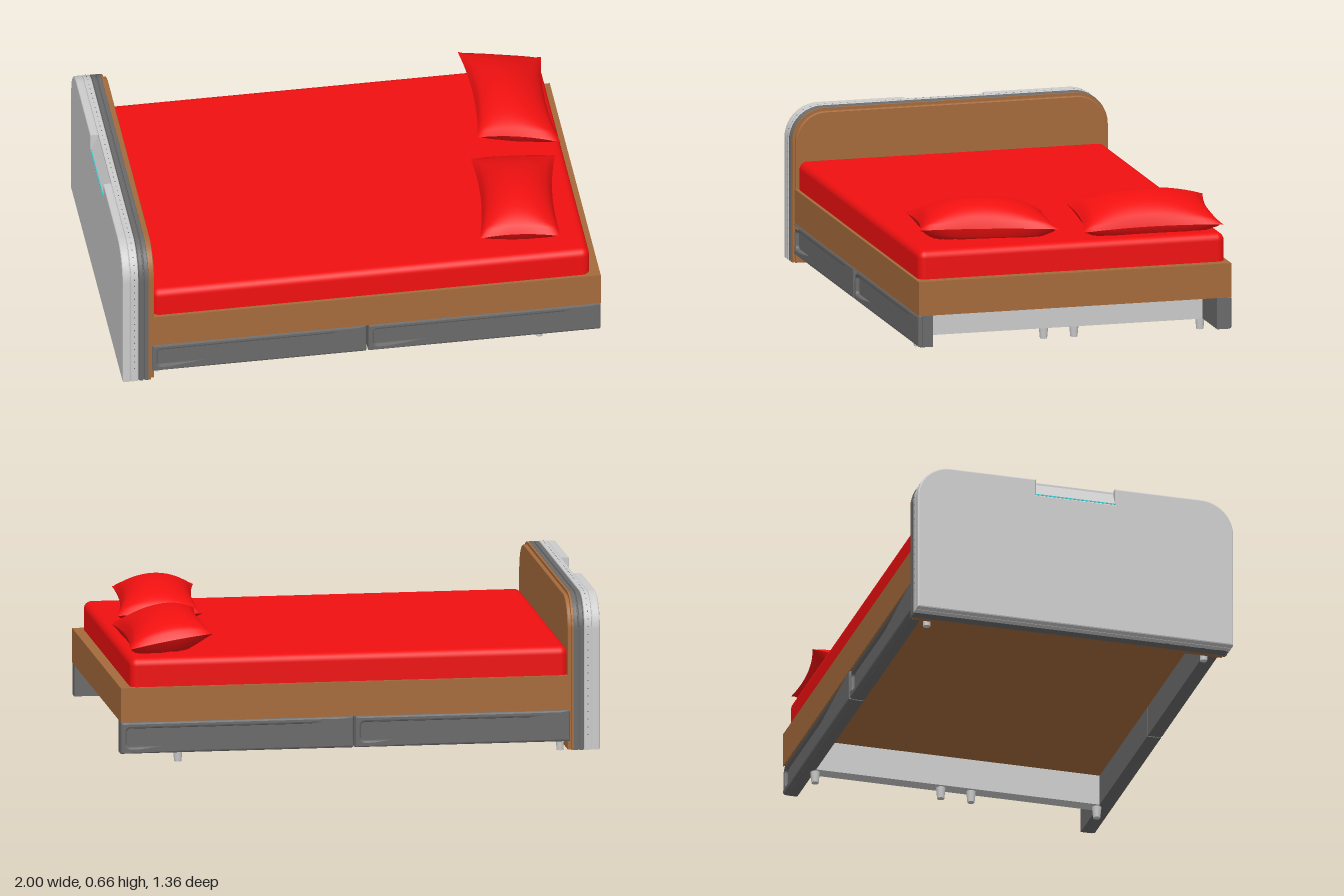
import * as THREE from 'three';
import { RoundedBoxGeometry } from 'three/addons/geometries/RoundedBoxGeometry.js';
import { mergeGeometries } from 'three/addons/utils/BufferGeometryUtils.js';

const paint = (color) => new THREE.MeshStandardMaterial({ color });
const grey = paint(0xcccccc), dark = paint(0x6a6a6a), wood = paint(0xa56b3c);
const red = paint(0xf01010), cyan = paint(0x30d0d8);

function add(parent, name, geometry, material, x = 0, y = 0, z = 0) {
  const mesh = new THREE.Mesh(geometry, material);
  mesh.name = name;
  mesh.position.set(x, y, z);
  parent.add(mesh);
  return mesh;
}

// Box given by its limits
function block(parent, name, material, x0, x1, y0, y1, z0, z1) {
  return add(parent, name, new THREE.BoxGeometry(x1 - x0, y1 - y0, z1 - z0), material,
    (x0 + x1) / 2, (y0 + y1) / 2, (z0 + z1) / 2);
}

// Headboard outline with rounded top corners and an optional notch in the top edge
function archShape(inset = 0, notch = 0) {
  const w = 0.678 - inset, top = 0.657 - inset, r = 0.14 - inset, base = 0.012;
  const s = new THREE.Shape();
  s.moveTo(-w, base);
  s.lineTo(w, base);
  s.lineTo(w, top - r);
  s.absarc(w - r, top - r, r, 0, Math.PI / 2);
  if (notch) {
    s.lineTo(0.17, top);
    s.lineTo(0.17, top - notch);
    s.lineTo(-0.17, top - notch);
    s.lineTo(-0.17, top);
  }
  s.lineTo(r - w, top);
  s.absarc(r - w, top - r, r, Math.PI / 2, Math.PI);
  s.closePath();
  return s;
}

// Slab of the headboard between two x positions
function slab(parent, name, material, x0, x1, shape, bevel) {
  const geometry = new THREE.ExtrudeGeometry(shape, {
    depth: x1 - x0 - 2 * bevel, curveSegments: 12, bevelEnabled: bevel > 0,
    bevelSize: bevel, bevelThickness: bevel, bevelOffset: -bevel, bevelSegments: 2,
  });
  geometry.translate(0, 0, bevel).rotateY(Math.PI / 2);
  return add(parent, name, geometry, material, x0);
}

function headboard() {
  const g = new THREE.Group();
  g.name = 'headboard';
  slab(g, 'outerShell', grey, -1, -0.965, archShape(0, 0.07), 0.006);
  slab(g, 'innerShell', grey, -0.966, -0.934, archShape(), 0.003);
  slab(g, 'trimCore', dark, -0.94, -0.89, archShape(0.008), 0);
  slab(g, 'trimBandOuter', dark, -0.931, -0.912, archShape(), 0.004);
  slab(g, 'trimBandInner', dark, -0.909, -0.89, archShape(), 0.004);
  slab(g, 'woodRim', wood, -0.892, -0.882, archShape(0.002), 0);
  slab(g, 'woodPanel', wood, -0.884, -0.866, archShape(0.013), 0.004);

  // Sloped panel in the notch, with a bright line along its foot
  const wedge = new THREE.Shape([[0, 0], [0.035, 0], [0.035, 0.065]].map((p) => new THREE.Vector2(...p)));
  add(g, 'slopedPanel', new THREE.ExtrudeGeometry(wedge, { depth: 0.34, bevelEnabled: false }),
    grey, -0.998, 0.587, -0.17);
  block(g, 'lightLine', cyan, -1, -0.995, 0.585, 0.59, -0.17, 0.17);

  // Row of small studs following the edge
  const studs = archShape().getSpacedPoints(120).filter((p) => p.y > 0.05)
    .map((p) => new THREE.BoxGeometry(0.004, 0.004, 0.004).translate(-0.95, p.y - 0.001, p.x));
  add(g, 'edgeStuds', mergeGeometries(studs), dark);
  return g;
}

function roundedRect(target, w, h, r) {
  const x = w / 2 - r, y = h / 2 - r;
  target.absarc(x, y, r, 0, Math.PI / 2);
  target.absarc(-x, y, r, Math.PI / 2, Math.PI);
  target.absarc(-x, -y, r, Math.PI, Math.PI * 1.5);
  target.absarc(x, -y, r, Math.PI * 1.5, Math.PI * 2);
  target.closePath();
  return target;
}

// Drawer with a recessed front, facing +z
function drawer(width) {
  const g = new THREE.Group(), h = 0.132;
  g.name = 'drawer';
  add(g, 'drawerBody', new THREE.BoxGeometry(width, h, 0.046), dark, 0, 0, -0.04);
  const frame = roundedRect(new THREE.Shape(), width, h, 0.004);
  frame.holes.push(roundedRect(new THREE.Path(), width - 0.05, h - 0.055, 0.015));
  const geometry = new THREE.ExtrudeGeometry(frame, {
    depth: 0.006, curveSegments: 5, bevelSize: 0.009, bevelThickness: 0.009,
    bevelOffset: -0.009, bevelSegments: 2,
  });
  add(g, 'drawerFrame', geometry, dark, 0, 0, -0.015);
  return g;
}

// Pillow stretched between four corners [x, y, z]: back -x, back +x, front +x, front -x
function pillow(name, corners) {
  const [a, b, c, d] = corners.map((p) => new THREE.Vector3(...p));
  const side = (top) => {
    const geometry = new THREE.PlaneGeometry(2, 2, 28, 28);
    const pos = geometry.attributes.position;
    for (let i = 0; i < pos.count; i++) {
      const u = pos.getX(i) * (top ? 1 : -1), v = -pos.getY(i);
      // Edges bow inward between the pointed corners
      const s = (1 + u * (1 - 0.14 * (1 - v * v))) / 2;
      const t = (1 + v * (1 - 0.08 * (1 - u * u))) / 2;
      const p = a.clone().lerp(b, s).lerp(d.clone().lerp(c, s), t);
      const dome = Math.pow(Math.max(0, (1 - u * u) * (1 - v * v)), 0.55);
      const y = top ? p.y + (0.6 - (a.y + b.y + c.y + d.y) / 4) * dome
        : Math.max(0.453, p.y - 0.11 * dome);
      pos.setXYZ(i, p.x, y, p.z);
    }
    geometry.computeVertexNormals();
    return geometry;
  };
  const mesh = new THREE.Mesh(mergeGeometries([side(true), side(false)]), red);
  mesh.name = name;
  return mesh;
}

export function createModel() {
  const bed = new THREE.Group();
  bed.name = 'bed';
  bed.add(headboard());

  // Frame and mattress
  block(bed, 'woodFrame', wood, -0.87, 0.997, 0.18, 0.324, -0.67, 0.67);
  add(bed, 'mattress', new RoundedBoxGeometry(1.825, 0.2, 1.312, 4, 0.032), red, 0.042, 0.343, 0);

  // Two drawers on each side
  for (const [x0, x1] of [[-0.877, 0.02], [0.027, 0.997]]) {
    for (const side of [1, -1]) {
      const d = drawer(x1 - x0);
      d.position.set((x0 + x1) / 2, 0.114, side * 0.672);
      if (side < 0) d.rotation.y = Math.PI;
      bed.add(d);
    }
  }

  // Cross beam and legs
  block(bed, 'crossBeam', grey, 0.72, 0.78, 0.048, 0.181, -0.612, 0.612);
  const leg = (x, z, h) =>
    add(bed, 'leg', new THREE.CylinderGeometry(0.02, 0.015, h, 16), grey, x, h / 2, z);
  for (const z of [0.605, 0.065, -0.065, -0.605]) leg(0.75, z, 0.05);
  for (const z of [0.595, -0.595]) leg(-0.845, z, 0.181);

  bed.add(pillow('pillowBack', [[0.61, 0.54, -0.657], [0.957, 0.48, -0.648], [0.945, 0.478, -0.055], [0.598, 0.54, -0.06]]));
  bed.add(pillow('pillowFront', [[0.555, 0.495, 0.015], [0.907, 0.49, 0.04], [0.84, 0.505, 0.62], [0.505, 0.51, 0.59]]));
  return bed;
}
